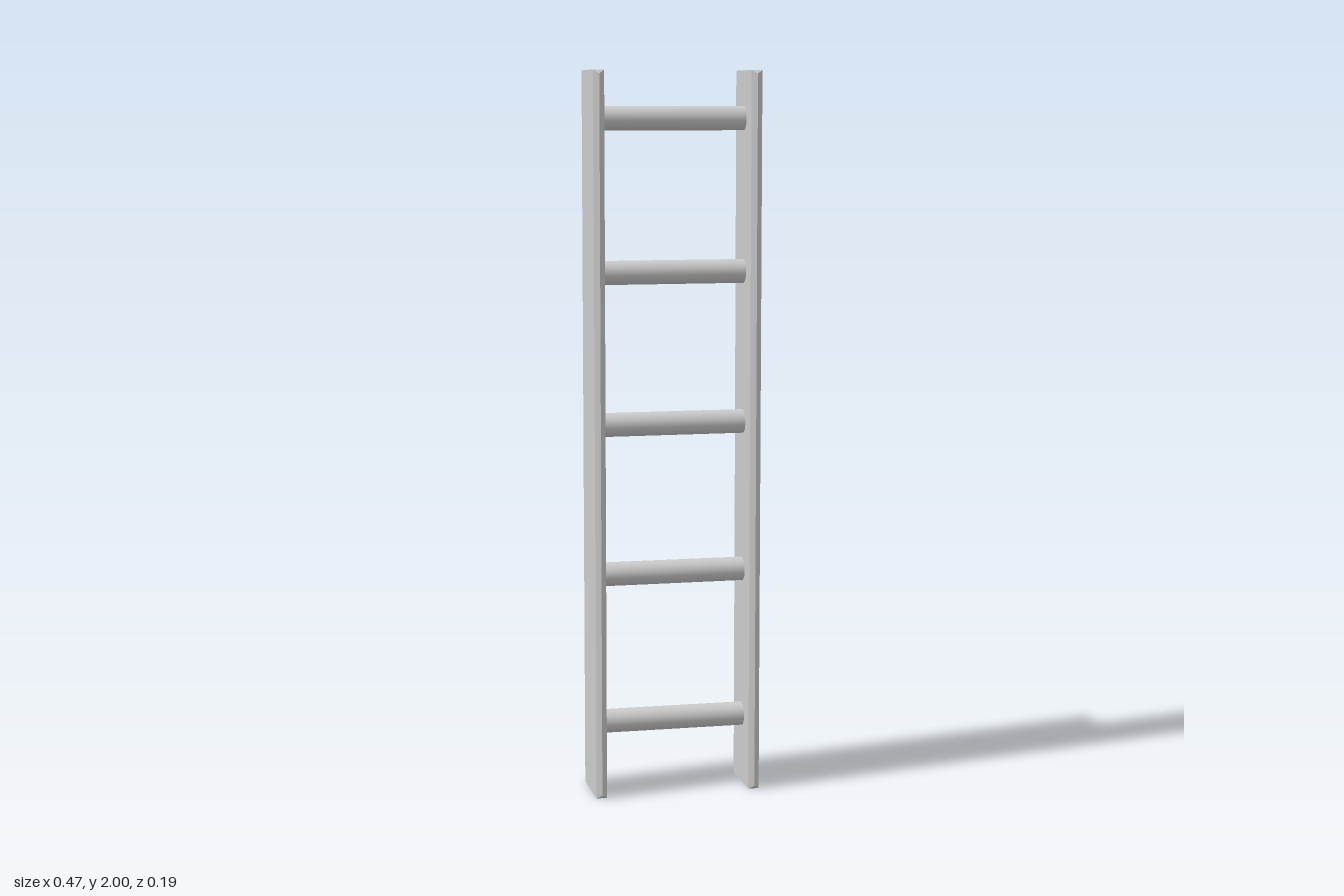
import * as THREE from 'three';

const HEIGHT = 2, RAIL_X = 0.2175, RAIL_W = 0.03, RAIL_D = 0.19, CHAMFER = 0.01;

// Plank whose front and back edges taper to a ridge, with clipped corners
function railGeometry() {
  const box = new THREE.BoxGeometry(RAIL_W, HEIGHT, RAIL_D, 1, 1, 3);
  const p = box.attributes.position;
  for (let i = 0; i < p.count; i++) {
    const z = p.getZ(i);
    if (Math.abs(z) > RAIL_D / 2 - 0.001) {
      p.setX(i, 0);
      p.setY(i, Math.sign(p.getY(i)) * (HEIGHT / 2 - CHAMFER));
    } else {
      p.setZ(i, Math.sign(z) * (RAIL_D / 2 - CHAMFER));
    }
  }
  const geometry = box.toNonIndexed();
  geometry.computeVertexNormals();
  return geometry;
}

export function createModel() {
  const ladder = new THREE.Group();
  ladder.name = 'ladder';
  const flat = new THREE.MeshStandardMaterial({ color: 0xcccccc, flatShading: true });
  const smooth = new THREE.MeshStandardMaterial({ color: 0xcccccc });

  // Side rails
  const rail = railGeometry();
  for (const side of [-1, 1]) {
    const mesh = new THREE.Mesh(rail, flat);
    mesh.name = side > 0 ? 'leftRail' : 'rightRail';
    mesh.position.set(side * RAIL_X, HEIGHT / 2, 0);
    ladder.add(mesh);
  }

  // Evenly spaced round rungs between the rails
  const rung = new THREE.CylinderGeometry(0.033, 0.033, 2 * RAIL_X - RAIL_W, 32);
  rung.rotateZ(Math.PI / 2);
  for (let i = 0; i < 5; i++) {
    const mesh = new THREE.Mesh(rung, smooth);
    mesh.name = `rung${i + 1}`;
    mesh.position.y = 0.197 + i * 0.4185;
    ladder.add(mesh);
  }
  return ladder;
}
